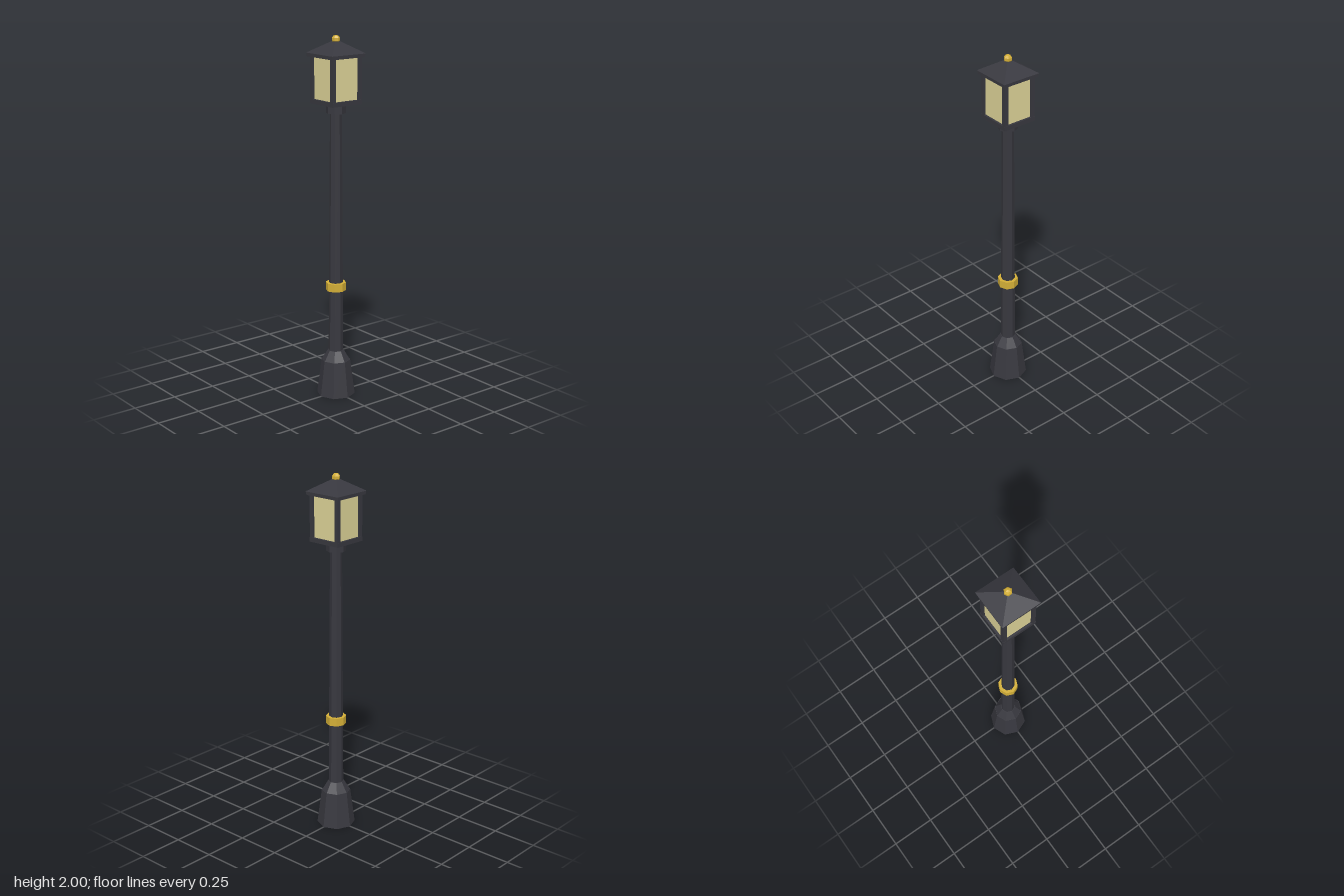
import * as THREE from 'three';

export function createModel() {
  const group = new THREE.Group();
  const material = (name, color) => {
    const m = new THREE.MeshStandardMaterial({ color });
    m.name = name;
    return m;
  };
  const iron = material('dark iron', 0x38383f);
  const brass = material('brass', 0xd4af37);
  const glass = material('warm glass', 0xded498);

  // Adds a faceted part centred at the given position
  function add(name, geometry, mat, x, y, z) {
    const flat = geometry.index ? geometry.toNonIndexed() : geometry;
    flat.computeVertexNormals();
    const mesh = new THREE.Mesh(flat, mat);
    mesh.name = name;
    mesh.position.set(x, y, z);
    group.add(mesh);
    return mesh;
  }
  // Eight-sided tapered section between two heights
  const section = (name, mat, rBottom, rTop, y0, y1) =>
    add(name, new THREE.CylinderGeometry(rTop, rBottom, y1 - y0, 8), mat, 0, (y0 + y1) / 2, 0);
  // Square slab between two heights
  const slab = (name, mat, half, y0, y1, x = 0, z = 0) =>
    add(name, new THREE.BoxGeometry(half * 2, y1 - y0, half * 2), mat, x, (y0 + y1) / 2, z);

  // Post
  section('base', iron, 0.106, 0.08, 0, 0.2);
  section('baseShoulder', iron, 0.078, 0.044, 0.2, 0.256);
  section('pole', iron, 0.041, 0.032, 0.25, 1.6);
  section('poleBand', brass, 0.056, 0.056, 0.605, 0.65);
  section('lanternCollar', iron, 0.053, 0.053, 1.588, 1.64);

  // Lantern
  slab('lanternFloor', iron, 0.098, 1.638, 1.662);
  slab('lanternGlass', glass, 0.086, 1.662, 1.888);
  for (const sx of [-1, 1]) {
    for (const sz of [-1, 1]) {
      slab('cornerPost', iron, 0.011, 1.66, 1.888, sx * 0.086, sz * 0.086);
    }
  }

  // Roof: thin eaves, four-sided pyramid and ball on top
  slab('eaves', iron, 0.109, 1.886, 1.906);
  const roof = new THREE.ConeGeometry(0.112 * Math.SQRT2, 0.072, 4);
  roof.rotateY(Math.PI / 4);
  add('roof', roof, iron, 0, 1.941, 0);
  add('finial', new THREE.SphereGeometry(0.023, 6, 5), brass, 0, 1.977, 0);

  return group;
}
